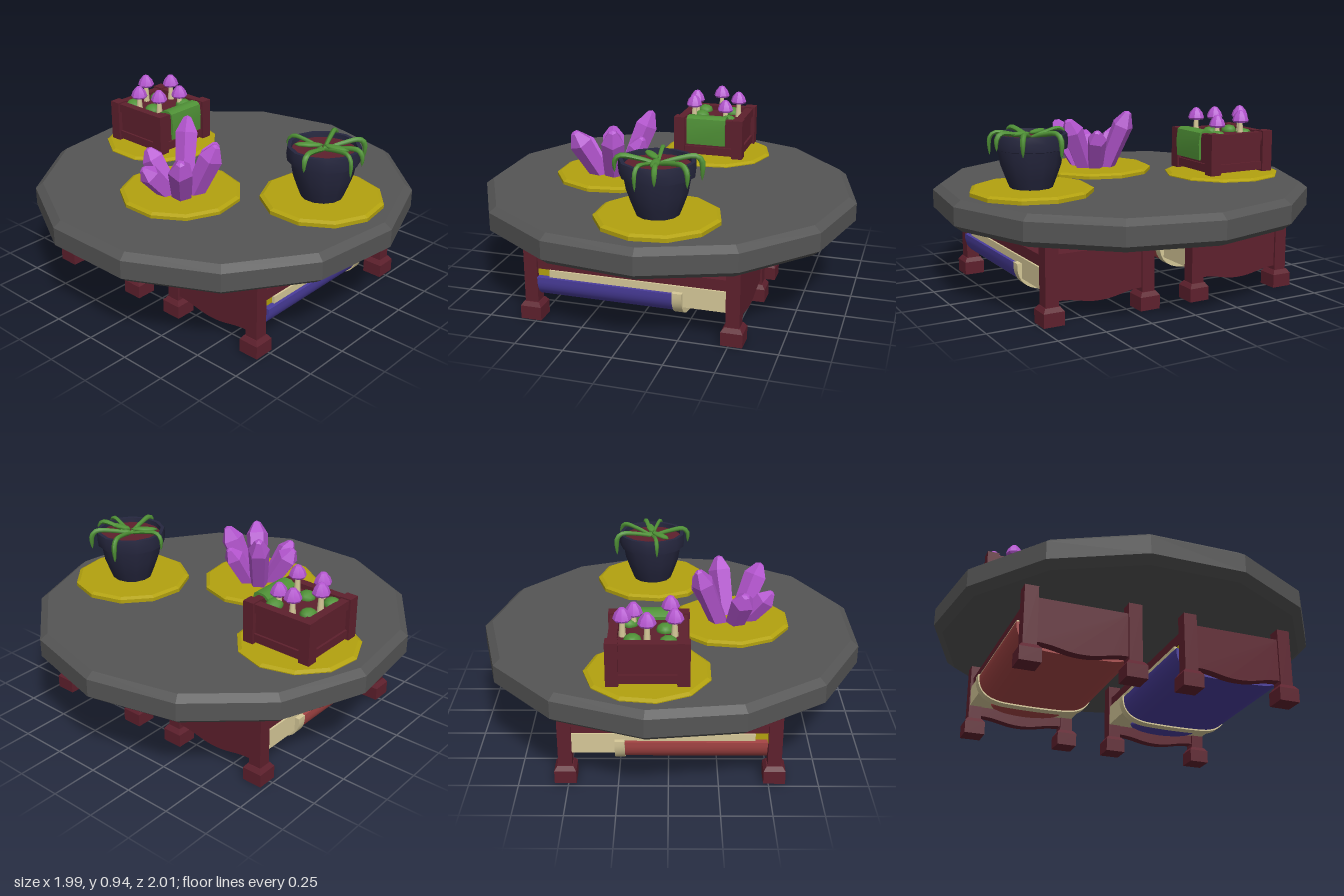
import * as THREE from 'three';
import { toCreasedNormals } from 'three/addons/utils/BufferGeometryUtils.js';

const mat = (name, color) => {
  const m = new THREE.MeshStandardMaterial({ color });
  m.name = name;
  return m;
};
const V = (x, y, z) => new THREE.Vector3(x, y, z);

export function createModel() {
  const stone = mat('stone grey', 0x555555);
  const gold = mat('gold', 0xb3a20f);
  const wood = mat('dark red wood', 0x5e202d);
  const purple = mat('purple', 0xb455cf);
  const navy = mat('navy', 0x26273f);
  const green = mat('green', 0x4f9136);
  const cream = mat('cream', 0xd6c898);
  const blue = mat('blue', 0x4a3d9c);
  const red = mat('red', 0xa64545);

  const model = new THREE.Group();
  const newGroup = (name, parent = model) => {
    const g = new THREE.Group();
    g.name = name;
    parent.add(g);
    return g;
  };
  const add = (parent, name, geo, material, x = 0, y = 0, z = 0) => {
    const m = new THREE.Mesh(geo, material);
    m.name = name;
    m.position.set(x, y, z);
    parent.add(m);
    return m;
  };
  // box given by its limits
  const box = (parent, name, material, x0, x1, y0, y1, z0, z1) =>
    add(parent, name, new THREE.BoxGeometry(x1 - x0, y1 - y0, z1 - z0), material,
      (x0 + x1) / 2, (y0 + y1) / 2, (z0 + z1) / 2);
  // turned shape; a small crease angle gives flat facets
  const lathe = (pts, sides, crease = 0.1) => toCreasedNormals(
    new THREE.LatheGeometry(pts.map(p => new THREE.Vector2(...p)), sides, Math.PI / 2), crease);

  // table top
  add(model, 'tableTop', lathe([[0, 0.4], [0.965, 0.4], [1.01, 0.435], [1.01, 0.53], [0.97, 0.56], [0, 0.56]], 13),
    stone, -0.01);

  // gold place mats
  [[0.1, -0.59, 0.575], [-0.33, -0.01, 0.587], [0.1, 0.58, 0.59]].forEach(([x, z, top]) =>
    add(model, 'placeMat', lathe([[0, 0.555], [0.32, 0.555], [0.32, top - 0.01], [0.3, top], [0, top]], 11), gold, x, 0, z));

  // crystal cluster: tip position and radius of each shard
  const crystals = newGroup('crystals');
  [
    [-0.15, 0.91, -0.13, 0.055], [-0.27, 0.87, 0.19, 0.058], [-0.4, 0.79, -0.18, 0.056],
    [-0.55, 0.76, -0.06, 0.05], [-0.5, 0.84, 0.16, 0.058], [-0.14, 0.81, 0.07, 0.05],
  ].forEach(([x, y, z, r]) => {
    const base = V(-0.33 + (x + 0.33) * 0.32, 0.57, z * 0.32);
    const dir = V(x, y, z).sub(base);
    const len = dir.length();
    const shard = add(crystals, 'crystal',
      lathe([[0, 0], [r * 0.9, 0], [r * 1.12, len * 0.76], [r * 0.4, len * 0.97], [0, len]], 5),
      purple, base.x, base.y, base.z);
    shard.quaternion.setFromUnitVectors(V(0, 1, 0), dir.normalize());
  });

  // flower pot with trailing plant
  const pot = newGroup('pottedPlant');
  pot.position.set(0.1, 0, 0.58);
  add(pot, 'pot', lathe([[0, 0.59], [0.11, 0.59], [0.13, 0.64], [0.155, 0.71], [0.168, 0.785], [0.187, 0.79],
    [0.192, 0.83], [0.188, 0.865], [0.168, 0.865], [0.165, 0.83]], 13, 0.6), navy);
  add(pot, 'soil', new THREE.CylinderGeometry(0.168, 0.168, 0.02, 13), wood, 0, 0.83, 0);
  // tapered tube: rings shrink towards the tip
  const tendril = (pts, radius) => {
    const curve = new THREE.CatmullRomCurve3(pts);
    const n = 14, sides = 6;
    const geo = new THREE.TubeGeometry(curve, n, radius, sides);
    const pos = geo.attributes.position;
    const p = V(0, 0, 0);
    for (let i = 0; i <= n; i++) {
      const t = i / n, c = curve.getPointAt(t);
      const s = t > 0.75 ? Math.sqrt((1 - t) * 4) : 0.7 + 0.4 * t;
      for (let j = 0; j <= sides; j++) {
        const k = i * (sides + 1) + j;
        p.fromBufferAttribute(pos, k).sub(c).multiplyScalar(s).add(c);
        pos.setXYZ(k, p.x, p.y, p.z);
      }
    }
    geo.computeVertexNormals();
    return geo;
  };
  // x and z of the tip, height of the tip, thickness
  [
    [0.2, -0.075, 0.75, 0.015], [0.18, 0.12, 0.77, 0.015], [0.045, 0.2, 0.79, 0.014], [-0.05, 0.2, 0.76, 0.012],
    [-0.205, 0.035, 0.79, 0.015], [-0.03, -0.2, 0.78, 0.012],
  ].forEach(([x, z, y, r]) => add(pot, 'tendril', tendril([
    V(0, 0.84, 0), V(x * 0.45, 0.865, z * 0.45), V(x * 0.88, 0.875, z * 0.88), V(x, 0.85, z), V(x * 1.01, y, z * 1.01),
  ], r), green));
  [[-0.095, -0.12, 0.87], [0.02, 0.14, 0.87]].forEach(([x, z, y]) => {
    const leaf = add(pot, 'leaf', new THREE.SphereGeometry(1, 8, 6), green, x / 2, y - 0.005, z / 2);
    leaf.scale.set(0.024, 0.012, Math.hypot(x, z) / 2);
    leaf.rotation.y = Math.atan2(x, z);
  });

  // wooden planter
  const planter = newGroup('planter');
  planter.position.set(0.097, 0, -0.59);
  for (const sx of [-1, 1]) for (const sz of [-1, 1])
    add(planter, 'planterPost', new THREE.BoxGeometry(0.062, 0.225, 0.062), wood, sx * 0.17, 0.6975, sz * 0.17);
  for (let i = 0; i < 4; i++) {
    const side = newGroup('planterSide', planter);
    side.rotation.y = i * Math.PI / 2;
    box(side, 'planterPanel', wood, -0.15, 0.15, 0.6, 0.79, 0.15, 0.178);
    box(side, 'planterTopRail', wood, -0.15, 0.15, 0.755, 0.803, 0.145, 0.19);
    box(side, 'planterBottomRail', wood, -0.15, 0.15, 0.595, 0.64, 0.15, 0.19);
  }
  box(planter, 'planterSoil', wood, -0.16, 0.16, 0.6, 0.775, -0.16, 0.16);

  // moss cushions
  [[0, -0.71], [0.17, -0.69], [0.015, -0.57], [0.19, -0.5]].forEach(([x, z]) =>
    add(model, 'moss', new THREE.IcosahedronGeometry(0.045, 1), green, x, 0.78, z).scale.y = 0.75);

  // mushrooms: position, top of the cap
  [[0.1, -0.71, 0.935], [-0.03, -0.63, 0.92], [0.22, -0.63, 0.925], [-0.01, -0.49, 0.925], [0.17, -0.51, 0.9]]
    .forEach(([x, z, top]) => {
      const mushroom = newGroup('mushroom');
      mushroom.position.set(x, top, z);
      const h = top - 0.05 - 0.77;
      add(mushroom, 'mushroomStem', new THREE.CylinderGeometry(0.011, 0.019, h, 7), cream, 0, -0.05 - h / 2, 0);
      add(mushroom, 'mushroomCap', lathe([[0, -0.055], [0.04, -0.068], [0.046, -0.058], [0.036, -0.03],
        [0.016, -0.006], [0, 0]], 8, 0.5), purple);
    });

  // leafy cloth over the planter edge
  const cloth = new THREE.Shape([[-0.47, 0.785], [-0.43, 0.808], [-0.39, 0.808], [-0.385, 0.78], [-0.385, 0.66],
    [-0.375, 0.66], [-0.37, 0.75], [-0.378, 0.81], [-0.4, 0.822], [-0.44, 0.82], [-0.47, 0.8]]
    .map(p => new THREE.Vector2(...p)));
  const clothGeo = new THREE.ExtrudeGeometry(cloth, { depth: 0.225, bevelEnabled: false });
  clothGeo.rotateY(-Math.PI / 2);
  add(model, 'drapedLeaf', toCreasedNormals(clothGeo, 0.7), green, 0.2);

  // rounded trough section of a blanket, running along x
  const blanketGeo = (grow, length) => {
    const w = 0.312 + grow, b = 0.1 - grow, t = 0.235 + grow;
    const s = new THREE.Shape();
    s.moveTo(-w, t);
    s.bezierCurveTo(-w - 0.005, 0.15, -w + 0.05, b + 0.012, -0.17, b + 0.004);
    s.quadraticCurveTo(0, b - 0.004, 0.17, b + 0.004);
    s.bezierCurveTo(w - 0.05, b + 0.012, w + 0.005, 0.15, w, t);
    const g = new THREE.ExtrudeGeometry(s, { depth: length, bevelEnabled: false, curveSegments: 10 });
    g.rotateY(Math.PI / 2);
    return toCreasedNormals(g, 0.7);
  };
  // end board with a curved lower edge
  const board = new THREE.Shape();
  board.moveTo(-0.24, 0.345);
  board.lineTo(-0.24, 0.115);
  board.bezierCurveTo(-0.13, 0.115, -0.1, 0.085, 0, 0.085);
  board.bezierCurveTo(0.1, 0.085, 0.13, 0.115, 0.24, 0.115);
  board.lineTo(0.24, 0.345);
  const boardGeo = new THREE.ExtrudeGeometry(board, { depth: 0.05, bevelEnabled: false, curveSegments: 8 });
  boardGeo.rotateY(Math.PI / 2);

  // two upturned beds carry the table
  const bed = (name, z, colour) => {
    const g = newGroup(name);
    g.position.z = z;
    for (const x of [-0.53, 0.515]) {
      for (const s of [-1, 1]) {
        const leg = newGroup('leg', g);
        leg.position.set(x, 0, s * 0.265);
        add(leg, 'legPost', new THREE.BoxGeometry(0.07, 0.34, 0.07), wood, 0, 0.24, 0);
        add(leg, 'foot', new THREE.BoxGeometry(0.11, 0.07, 0.11), wood, 0, 0.035, 0);
        const r = Math.SQRT1_2;
        const cap = new THREE.CylinderGeometry(0.08 * r, 0.11 * r, 0.022, 4).rotateY(Math.PI / 4);
        add(leg, 'footTop', toCreasedNormals(cap, 0.1), wood, 0, 0.081, 0);
      }
      add(g, 'endBoard', boardGeo, wood, x - 0.025);
    }
    box(g, 'bedFrame', wood, -0.5, 0.49, 0.272, 0.33, -0.285, 0.285);
    box(g, 'goldBase', gold, -0.5, -0.43, 0.2, 0.273, -0.28, 0.28);
    box(g, 'mattress', cream, -0.43, 0.488, 0.165, 0.273, -0.295, 0.295);
    add(g, 'blanket', blanketGeo(0, 0.705), colour, -0.49);
    add(g, 'blanketFold', blanketGeo(0.008, 0.05), cream, 0.215);
    add(g, 'pillow', new THREE.SphereGeometry(1, 16, 10), colour, 0.395, 0.152, 0).scale.set(0.08, 0.036, 0.2);
  };
  bed('frontBed', 0.417, blue);
  bed('backBed', -0.408, red);

  return model;
}
